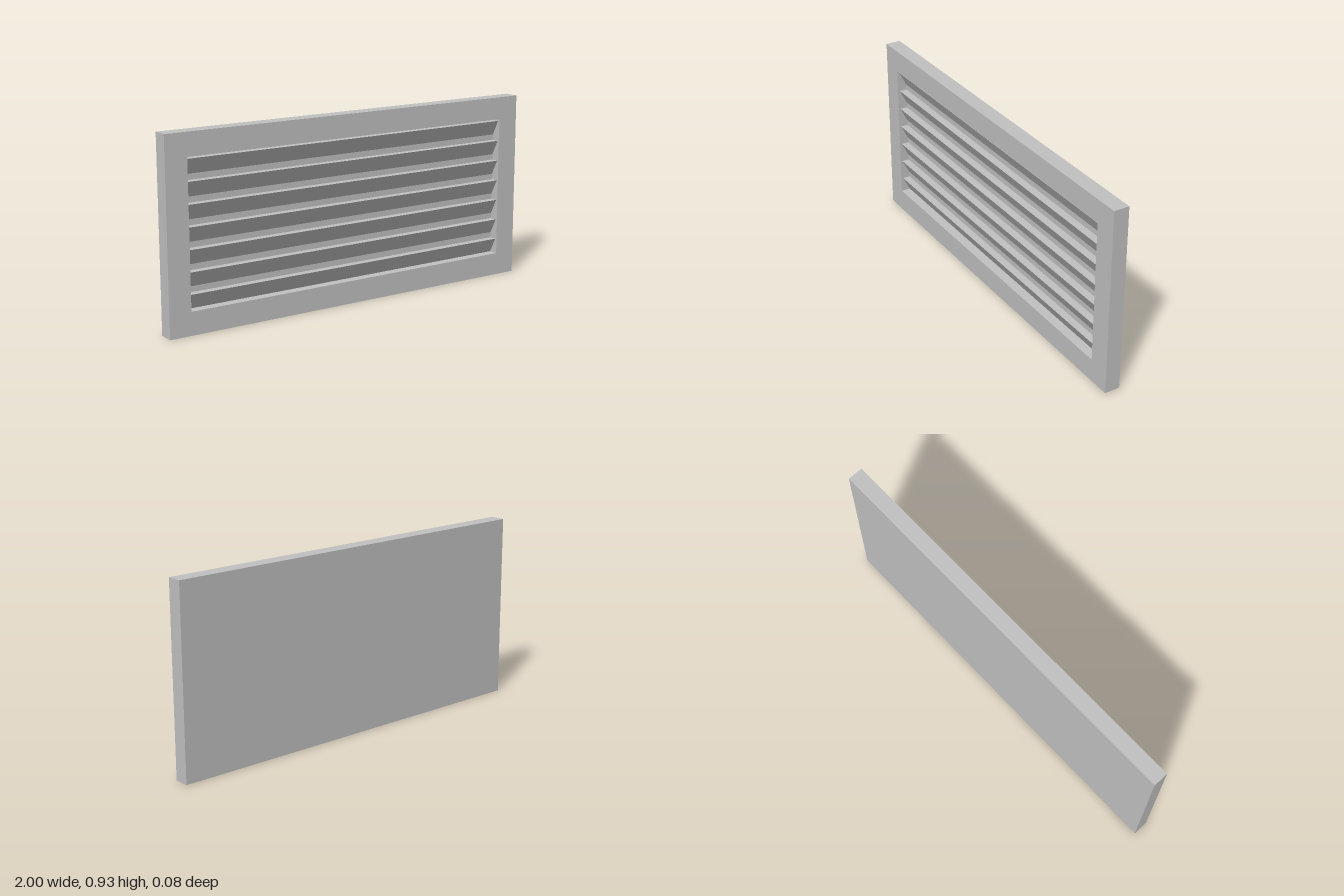
import * as THREE from 'three';

// Wall vent: solid back, framed opening and seven sloping louvres
export function createModel() {
  const group = new THREE.Group();
  const grey = new THREE.MeshStandardMaterial({ color: 0xc0c0c0 });
  grey.name = 'light grey';

  const W = 2, H = 0.925, front = 0.038, back = -0.038, wall = -0.01;
  const halfOpen = 0.89, openBottom = 0.112, openTop = 0.815;

  const add = (name, geometry, x, y, z) => {
    const mesh = new THREE.Mesh(geometry, grey);
    mesh.name = name;
    mesh.position.set(x, y, z);
    group.add(mesh);
    return mesh;
  };

  // Frame with a rectangular opening
  const outline = new THREE.Shape([
    new THREE.Vector2(-W / 2, 0), new THREE.Vector2(W / 2, 0),
    new THREE.Vector2(W / 2, H), new THREE.Vector2(-W / 2, H),
  ]);
  outline.holes.push(new THREE.Path([
    new THREE.Vector2(-halfOpen, openBottom), new THREE.Vector2(-halfOpen, openTop),
    new THREE.Vector2(halfOpen, openTop), new THREE.Vector2(halfOpen, openBottom),
  ]));
  add('frame', new THREE.ExtrudeGeometry(outline, { depth: front - wall, bevelEnabled: false }), 0, 0, wall);

  // Closed back
  add('backPanel', new THREE.BoxGeometry(W, H, wall - back), 0, H / 2, (wall + back) / 2);

  // Louvres: level top, front face sloping down and back to the panel
  const slatHeight = 0.075, slatDepth = 0.038, pitch = 0.1027;
  const profile = new THREE.Shape([
    new THREE.Vector2(0, 0), new THREE.Vector2(0, slatHeight), new THREE.Vector2(-slatDepth, slatHeight),
  ]);
  const slat = new THREE.ExtrudeGeometry(profile, { depth: halfOpen * 2, bevelEnabled: false });
  slat.rotateY(Math.PI / 2); // profile -x becomes +z, length runs along x
  for (let i = 0; i < 7; i++) add('louvre' + (i + 1), slat, -halfOpen, openBottom + i * pitch, wall);

  return group;
}
